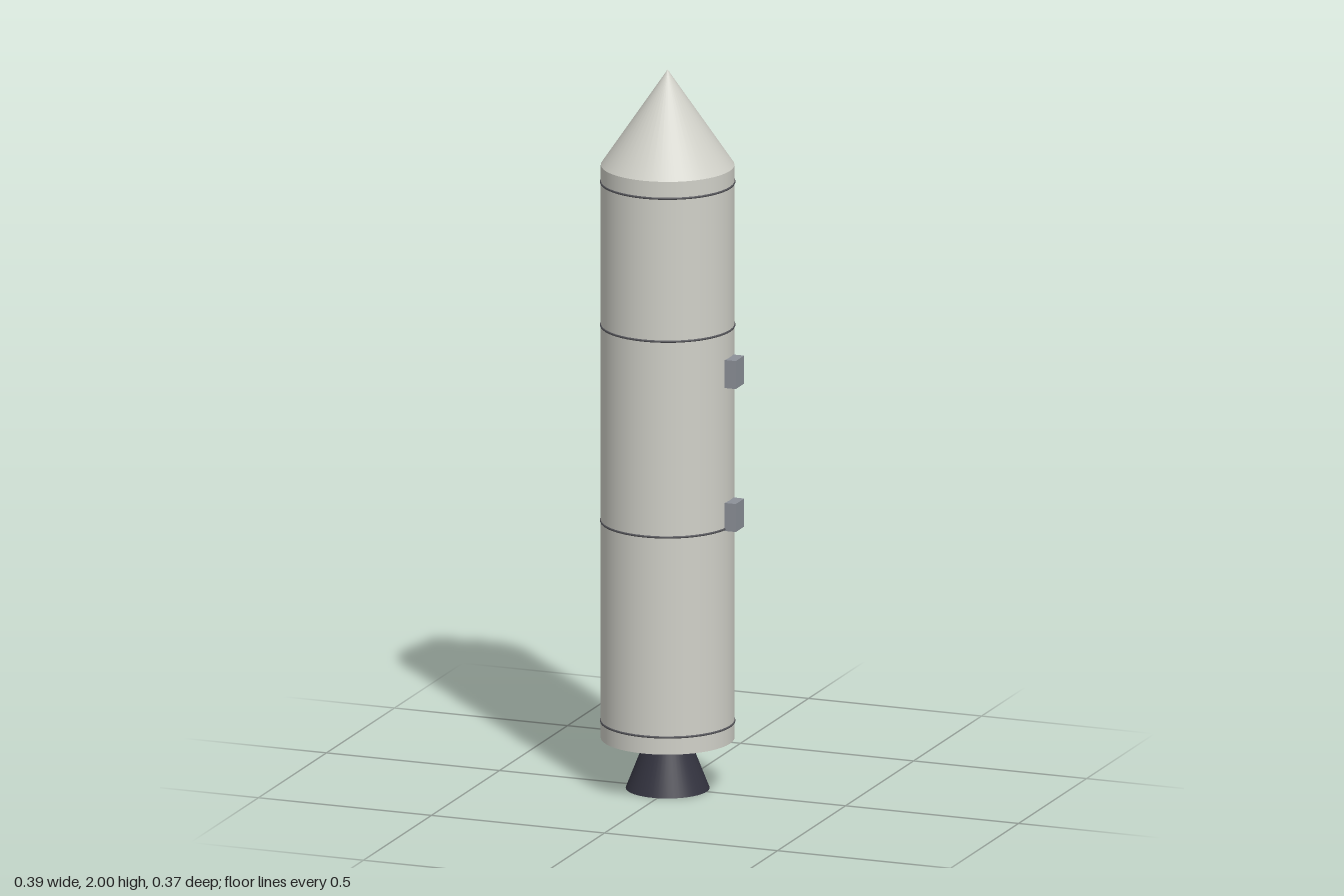
import * as THREE from 'three';

const mat = (name, color, side = THREE.FrontSide) => {
  const m = new THREE.MeshStandardMaterial({ color, side });
  m.name = name;
  return m;
};

export function createModel() {
  const hull = mat('hullGrey', 0xd0d0c8);
  const seam = mat('seamGrey', 0x55555a);
  const bracket = mat('bracketGrey', 0x8c9098);
  const nozzleDark = mat('nozzleDark', 0x33333f, THREE.DoubleSide);

  const group = new THREE.Group();
  group.name = 'booster';
  const axisX = -0.014, R = 0.18, bottom = 0.14, shoulder = 1.735;

  const add = (name, geometry, material, y, x = axisX) => {
    const mesh = new THREE.Mesh(geometry, material);
    mesh.name = name;
    mesh.position.set(x, y, 0);
    group.add(mesh);
    return mesh;
  };

  // Casing and nose
  add('casing', new THREE.CylinderGeometry(R, R, shoulder - bottom, 48), hull, (shoulder + bottom) / 2);
  add('noseCone', new THREE.ConeGeometry(R, 2 - shoulder, 48, 1, true), hull, (2 + shoulder) / 2);

  // Thin rings at the segment joints
  [0.188, 0.745, 1.29, 1.688].forEach((y, i) => {
    const ring = new THREE.TorusGeometry(R - 0.001, 0.0035, 8, 64);
    ring.rotateX(Math.PI / 2);
    add(`jointRing${i + 1}`, ring, seam, y);
  });

  // Open engine bell
  add('nozzle', new THREE.CylinderGeometry(0.058, 0.113, bottom, 48, 1, true), nozzleDark, bottom / 2);

  // Attachment brackets on the left side
  [0.779, 1.177].forEach((y, i) => {
    add(`bracket${i + 1}`, new THREE.BoxGeometry(0.055, 0.078, 0.062), bracket, y, 0.1675);
  });

  return group;
}
